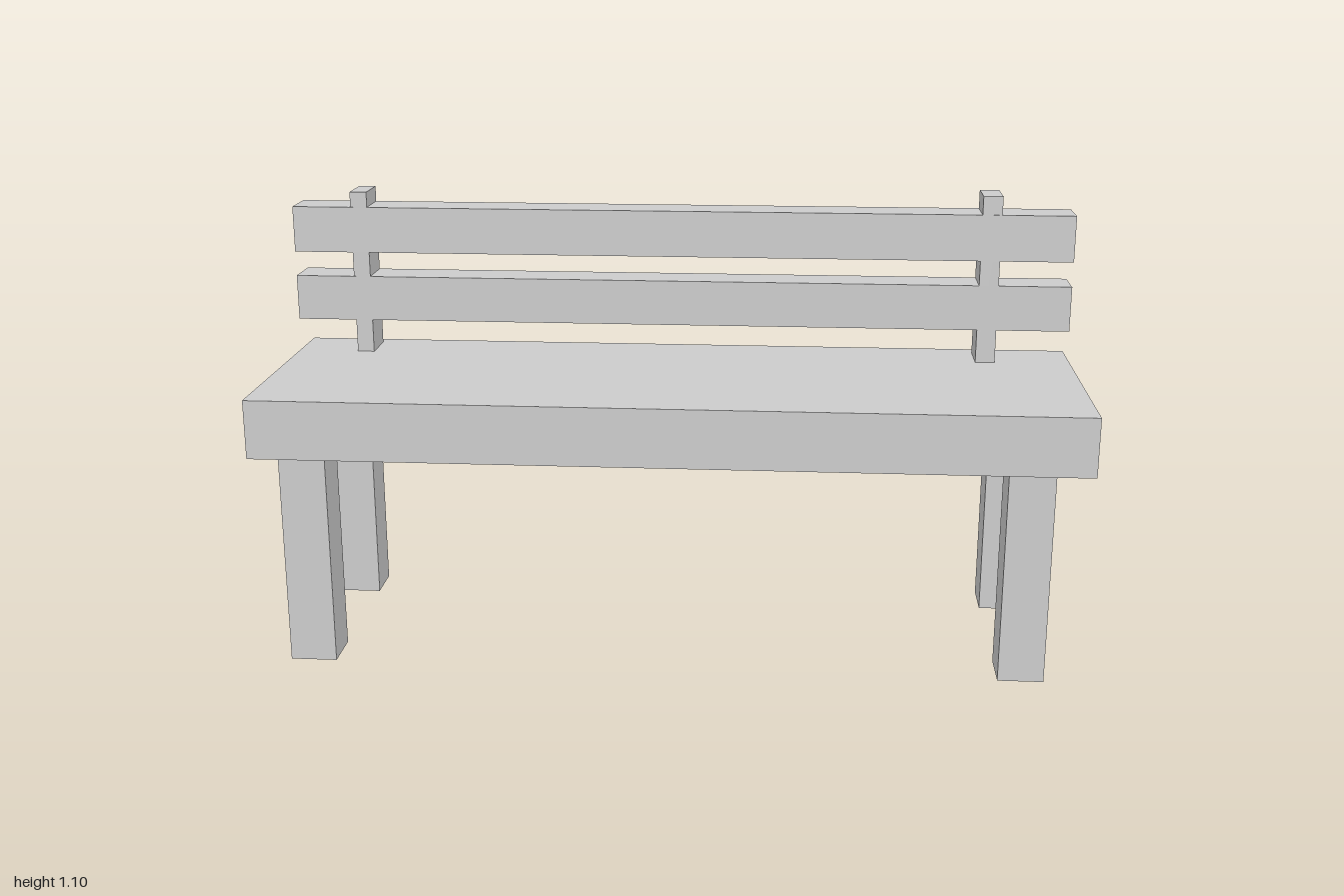
import * as THREE from 'three';

export function createModel() {
  const model = new THREE.Group();
  model.name = 'bench';
  const material = new THREE.MeshStandardMaterial({ color: 0xcccccc, flatShading: true });

  // Box given by its extents along each axis
  function block(name, [x0, x1], [y0, y1], [z0, z1]) {
    const mesh = new THREE.Mesh(new THREE.BoxGeometry(x1 - x0, y1 - y0, z1 - z0), material);
    mesh.position.set((x0 + x1) / 2, (y0 + y1) / 2, (z0 + z1) / 2);
    mesh.name = name;
    model.add(mesh);
  }

  // Seat slab
  block('seat', [-1, 1], [0.525, 0.67], [-0.31, 0.31]);

  // Four square legs
  for (const [side, x] of [['Right', [-0.93, -0.817]], ['Left', [0.802, 0.912]]]) {
    block('front' + side + 'Leg', x, [0, 0.525], [0.18, 0.29]);
    block('back' + side + 'Leg', x, [0, 0.525], [-0.266, -0.157]);
  }

  // Backrest posts, just inside the faces of the slats
  block('rightBackPost', [-0.845, -0.802], [0.67, 1.089], [-0.276, -0.175]);
  block('leftBackPost', [0.76, 0.809], [0.67, 1.097], [-0.276, -0.175]);

  // Backrest slats
  block('lowerSlat', [-0.996, 0.992], [0.755, 0.87], [-0.277, -0.174]);
  block('upperSlat', [-0.996, 0.992], [0.933, 1.05], [-0.277, -0.174]);

  return model;
}
